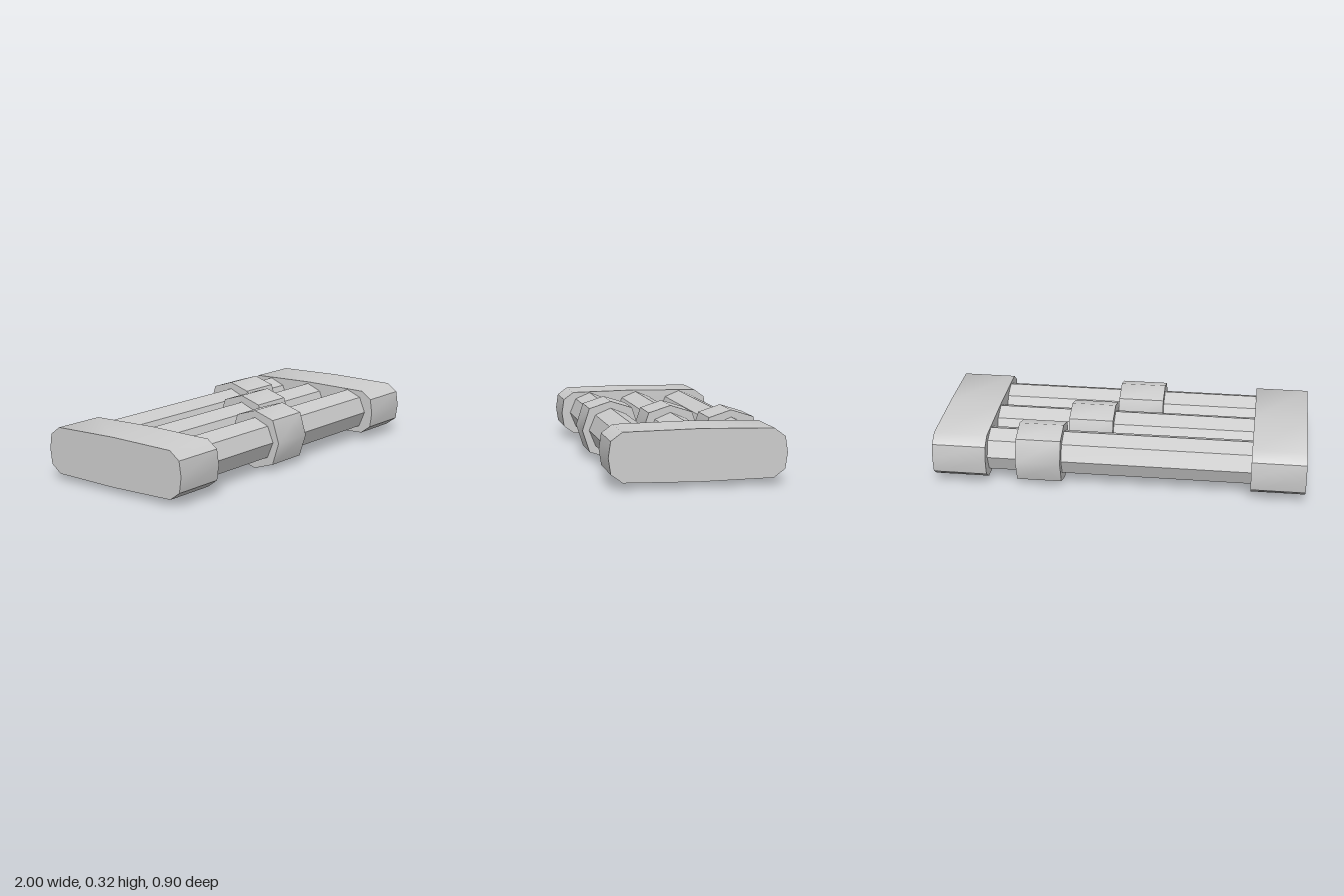
import * as THREE from 'three';
import { toCreasedNormals } from 'three/addons/utils/BufferGeometryUtils.js';

const MID_Y = 0.163;

// Prism along x from x0 to x1; profile points are (z, y) about the centre line
function prism(profile, x0, x1) {
  const shape = new THREE.Shape(profile.map(([z, y]) => new THREE.Vector2(z, y)));
  const geo = new THREE.ExtrudeGeometry(shape, { depth: x1 - x0, bevelEnabled: false });
  geo.rotateY(Math.PI / 2);
  geo.translate(x0, 0, 0);
  return toCreasedNormals(geo, 0.66);
}

// Mirrors one quadrant (from the +z axis to the +y axis) into a closed outline
function mirrorQuadrant(q) {
  const top = [...q, ...q.slice(0, -1).reverse().map(([z, y]) => [-z, y])];
  const bottom = top.slice(1, -1).reverse().map(([z, y]) => [z, -y]);
  return [...top, ...bottom];
}

export function createModel() {
  const group = new THREE.Group();
  const lightGrey = new THREE.MeshStandardMaterial({ color: 0xcccccc });
  lightGrey.name = 'lightGrey';

  const add = (name, geo, z = 0) => {
    const mesh = new THREE.Mesh(geo, lightGrey);
    mesh.name = name;
    mesh.position.set(0, MID_Y, z);
    group.add(mesh);
  };

  const r = 0.121, d = r * Math.SQRT1_2;
  const rodProfile = mirrorQuadrant([[r, 0], [d, d], [0, r]]);
  const ringProfile = mirrorQuadrant([[0.158, 0], [0.119, 0.121], [0, 0.159]]);
  const capProfile = mirrorQuadrant([[0.448, 0], [0.436, 0.081], [0.378, 0.124], [0, 0.131]]);

  // Three rods, each with a collar stepped further along x
  const rods = [
    { name: 'front', z: 0.277, ring: [-0.19, 0.06] },
    { name: 'middle', z: -0.007, ring: [0.06, 0.303] },
    { name: 'back', z: -0.278, ring: [0.308, 0.55] },
  ];
  for (const { name, z, ring } of rods) {
    add(name + 'Rod', prism(rodProfile, -0.72, 0.72), z);
    add(name + 'Collar', prism(ringProfile, ring[0], ring[1]), z);
  }

  // End caps joining the rods
  add('rightEndCap', prism(capProfile, -1, -0.71));
  add('leftEndCap', prism(capProfile, 0.71, 1));

  return group;
}
